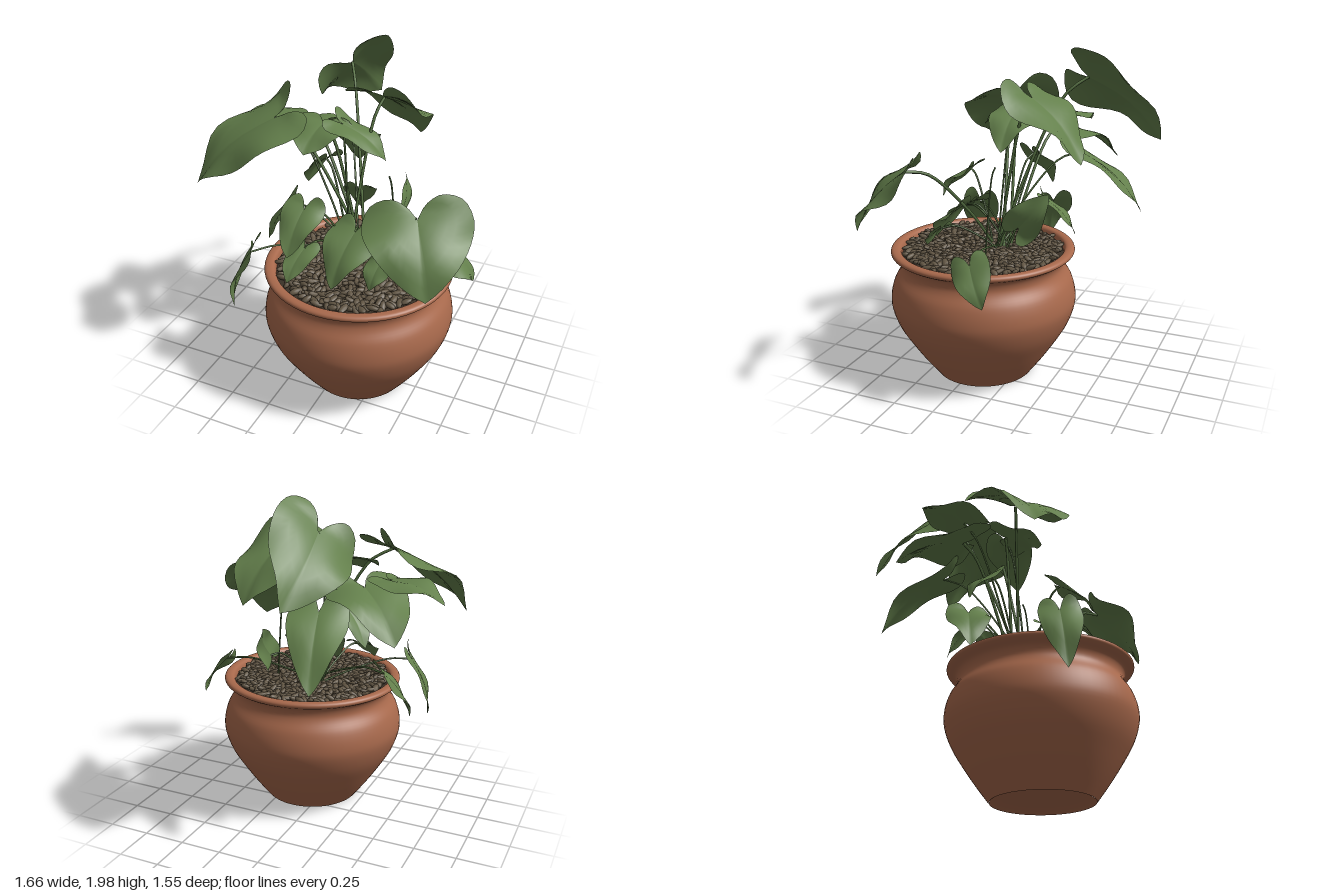
import * as THREE from 'three';
import { mergeGeometries } from 'three/addons/utils/BufferGeometryUtils.js';

const V = (a) => new THREE.Vector3(...a);
const mat = (name, color, side = THREE.FrontSide) => {
  const m = new THREE.MeshStandardMaterial({ color, side });
  m.name = name;
  return m;
};

// small seeded generator
function seeded(seed) {
  return () => {
    seed = (seed * 16807) % 2147483647;
    return seed / 2147483647;
  };
}

// half outline of a heart leaf: [sideways (x width), along (x length)]
const outline = new THREE.SplineCurve([
  [0.01, -0.02], [0.09, -0.18], [0.24, -0.28], [0.42, -0.2], [0.5, 0.06],
  [0.46, 0.32], [0.33, 0.6], [0.14, 0.87], [0, 1],
].map((p) => new THREE.Vector2(...p)));

// heart-shaped blade: rings shrink from the outline to the stalk joint
function leafGeometry(base, tip, width, sideHint, phase) {
  const b = V(base), fwd = V(tip).sub(b), len = fwd.length();
  fwd.normalize();
  const side = sideHint ? V(sideHint) : new THREE.Vector3().crossVectors(fwd, new THREE.Vector3(0, 1, 0));
  side.addScaledVector(fwd, -side.dot(fwd)).normalize();
  const normal = new THREE.Vector3().crossVectors(side, fwd);
  if (normal.y < 0) { normal.negate(); side.negate(); }

  const half = outline.getPoints(22);
  const rim = [...half, ...half.slice(0, -1).reverse().map((p) => new THREE.Vector2(-p.x, p.y))];
  const rings = 6, n = rim.length, pos = [], index = [];
  for (let r = 0; r <= rings; r++) {
    for (const p of rim) {
      const k = r / rings, s = p.x * k, a = p.y * k;
      const lift = len * 0.09 * Math.sin(Math.PI * Math.max(a, -0.1))
        + width * (0.22 * Math.abs(s) - 0.6 * s * s + 0.06 * k * k * Math.sin(a * 7 + Math.sign(s) * 1.5 + phase) * Math.min(1, Math.abs(s) * 4));
      const q = b.clone().addScaledVector(side, s * width).addScaledVector(fwd, a * len).addScaledVector(normal, lift);
      pos.push(q.x, q.y, q.z);
    }
  }
  for (let r = 0; r < rings; r++) {
    for (let i = 0; i < n - 1; i++) {
      const p = r * n + i, q = p + n;
      if (r > 0) index.push(p, p + 1, q + 1);
      index.push(p, q + 1, q);
    }
  }
  const g = new THREE.BufferGeometry();
  g.setAttribute('position', new THREE.Float32BufferAttribute(pos, 3));
  g.setIndex(index);
  g.computeVertexNormals();
  return g;
}

// stalk rising from the crown and arching over to the blade
function stemGeometry(root, end, radius) {
  const a = V(root), c = V(end);
  const m1 = a.clone().lerp(c, 0.3), m2 = a.clone().lerp(c, 0.75);
  m1.y = a.y + (c.y - a.y) * 0.42 + 0.02;
  m2.y = a.y + (c.y - a.y) * 0.88 + 0.03;
  return new THREE.TubeGeometry(new THREE.CatmullRomCurve3([a, m1, m2, c]), 16, radius, 6);
}

export function createModel() {
  const model = new THREE.Group();
  const terracotta = mat('terracotta', 0xa8694c);
  const leafGreen = mat('leaf green', 0x64804c, THREE.DoubleSide);
  const stemGreen = mat('stem green', 0x5a7645);
  const pebbleBrown = mat('pebble brown', 0x625644);
  const soilBrown = mat('soil brown', 0x3a3127);
  const add = (parent, name, geometry, material) => {
    const mesh = new THREE.Mesh(geometry, material);
    mesh.name = name;
    parent.add(mesh);
  };

  // pot, centred off the plant's middle
  const pot = new THREE.Group();
  pot.name = 'pot';
  pot.position.set(0.107, 0, 0.22);
  model.add(pot);
  const wall = new THREE.SplineCurve([
    [0.3, 0], [0.375, 0.1], [0.45, 0.21], [0.522, 0.33], [0.56, 0.44], [0.56, 0.52],
    [0.537, 0.6], [0.5, 0.66], [0.488, 0.7], [0.5, 0.74], [0.535, 0.762], [0.552, 0.775],
    [0.552, 0.79], [0.538, 0.8], [0.51, 0.8], [0.492, 0.785], [0.48, 0.74],
  ].map((p) => new THREE.Vector2(...p))).getPoints(64);
  add(pot, 'potWall', new THREE.LatheGeometry(wall, 64), terracotta);
  const foot = [[0, 0.03], [0.24, 0.03], [0.3, 0]].map((p) => new THREE.Vector2(...p));
  add(pot, 'potFoot', new THREE.LatheGeometry(foot, 48), terracotta);
  add(pot, 'soil', new THREE.CylinderGeometry(0.487, 0.487, 0.02, 48).translate(0, 0.752, 0), soilBrown);

  // pebbles in a spiral, each tilted its own way
  const rand = seeded(71);
  const pebbles = [];
  const count = 620;
  for (let i = 0; i < count; i++) {
    const r = 0.465 * Math.sqrt((i + 0.5) / count), t = i * 2.39996;
    const g = new THREE.SphereGeometry(1, 8, 6);
    g.scale(0.032 + rand() * 0.012, 0.012 + rand() * 0.005, 0.016 + rand() * 0.005);
    g.rotateZ((rand() - 0.5) * 1.1).rotateX((rand() - 0.5) * 0.9).rotateY(rand() * 6.28);
    g.translate(r * Math.cos(t), 0.774 + rand() * 0.016, r * Math.sin(t));
    pebbles.push(g);
  }
  add(pot, 'pebbles', mergeGeometries(pebbles), pebbleBrown);

  // leaves: stalk joint, tip, width, direction across the blade
  const leaves = [
    [[-0.18, 1.8, -0.33], [-0.17, 1.47, -0.77], 0.52, [0.65, 0.8, -0.05]],
    [[0.12, 1.71, -0.1], [0.23, 1.38, -0.43], 0.48, [1, 0, 0.25]],
    [[-0.36, 1.47, -0.1], [-0.64, 1.24, -0.39], 0.46],
    [[-0.17, 1.36, -0.3], [-0.27, 1.0, -0.65], 0.34],
    [[-0.5, 1.51, -0.04], [-0.83, 1.43, -0.15], 0.32],
    [[-0.4, 1.63, 0.24], [-0.8, 1.24, 0.47], 0.6, [0.2, -0.17, 0.5]],
    [[0.55, 1.33, 0.49], [0.69, 1.0, 0.72], 0.58, [0.48, 0, -0.22]],
    [[-0.46, 0.88, 0.5], [-0.56, 0.5, 0.56], 0.24, [0.3, 0, 1]],
    [[-0.46, 0.95, -0.02], [-0.6, 0.68, 0.05], 0.25],
    [[0.63, 0.87, 0.06], [0.73, 0.67, -0.06], 0.23, [0.1, 0, 1]],
    [[0.12, 1.05, 0.31], [0.08, 0.8, 0.55], 0.32],
    [[-0.14, 1.2, 0.42], [-0.15, 0.99, 0.62], 0.25],
    [[-0.13, 0.96, 0.45], [-0.16, 0.82, 0.62], 0.19],
    [[0.31, 0.94, 0.4], [0.29, 0.82, 0.5], 0.17],
    [[-0.06, 1.59, 0.08], [0.2, 1.4, 0.06], 0.28],
    [[-0.17, 1.58, 0.1], [-0.18, 1.48, 0.33], 0.37],
    [[0.25, 0.98, -0.07], [0.21, 1.19, -0.24], 0.22, [0.05, 0.6, 0.7]],
  ];
  // two small inner leaves spreading straight out from the crown
  for (let i = 0; i < 2; i++) {
    const angle = 3.55 + i * 0.8;
    const at = (r, y) => [0.05 + r * Math.cos(angle), y - i * 0.24, 0.12 + r * Math.sin(angle)];
    leaves.push([at(0.27, 1.32), at(0.44, 1.1), 0.21]);
  }

  const plant = new THREE.Group();
  plant.name = 'plant';
  model.add(plant);
  leaves.forEach(([base, tip, width, side], i) => {
    const root = [0.05 + Math.cos(i * 2.4) * 0.05, 0.77, 0.12 + Math.sin(i * 2.4) * 0.05];
    add(plant, 'leaf' + (i + 1), leafGeometry(base, tip, width, side, i * 1.7), leafGreen);
    add(plant, 'stem' + (i + 1), stemGeometry(root, base, width > 0.35 ? 0.009 : 0.006), stemGreen);
  });

  // bare young shoot
  add(plant, 'shoot', stemGeometry([0.3, 0.77, 0.12], [0.23, 1.32, 0.08], 0.005), stemGreen);

  return model;
}
